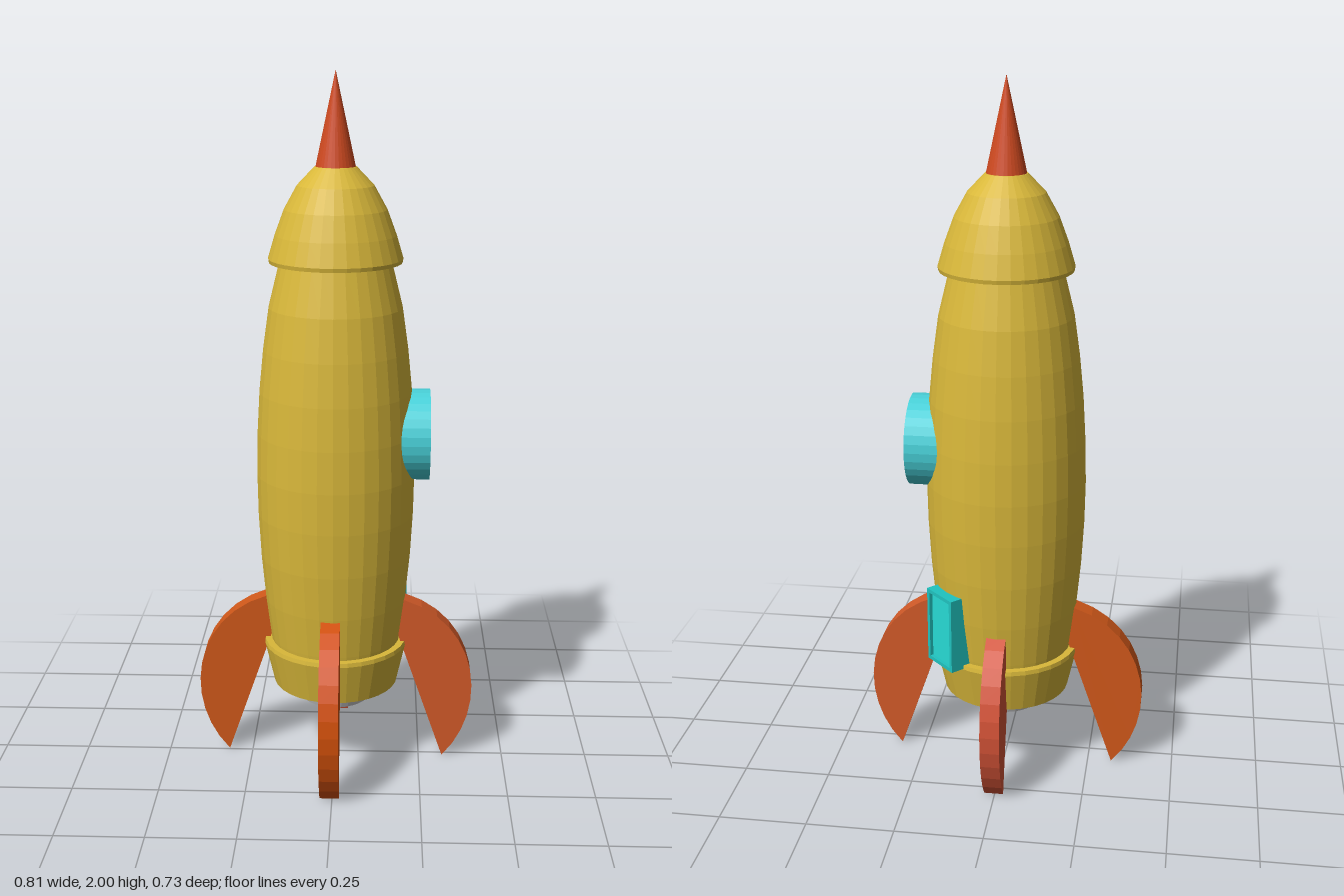
import * as THREE from 'three';

const AXIS_Z = -0.027; // the hull axis sits slightly behind centre

function paint(color) {
  return new THREE.MeshStandardMaterial({ color, flatShading: true, side: THREE.DoubleSide });
}

function part(name, geometry, color, parent) {
  const mesh = new THREE.Mesh(geometry, paint(color));
  mesh.name = name;
  parent.add(mesh);
  return mesh;
}

// Profile points are [radius, height]
function turned(points, segments = 32) {
  return new THREE.LatheGeometry(points.map(([r, y]) => new THREE.Vector2(r, y)), segments);
}

function finGeometry() {
  const s = new THREE.Shape();
  s.moveTo(0.32, 0);
  s.bezierCurveTo(0.46, 0.15, 0.43, 0.43, 0.2, 0.5);
  s.lineTo(0.145, 0.505);
  s.closePath();
  const g = new THREE.ExtrudeGeometry(s, { depth: 0.055, bevelEnabled: false, curveSegments: 12 });
  return g.translate(0, 0, -0.0275);
}

function rectangle(Type, w, h) {
  const r = new Type();
  r.moveTo(-w / 2, -h / 2);
  r.lineTo(w / 2, -h / 2);
  r.lineTo(w / 2, h / 2);
  r.lineTo(-w / 2, h / 2);
  r.closePath();
  return r;
}

export function createModel() {
  const rocket = new THREE.Group();
  rocket.name = 'rocket';
  const gold = 0xd9b83a;

  // Hull, tail collar, nose and nozzle share one axis
  const core = new THREE.Group();
  core.name = 'core';
  core.position.z = AXIS_Z;
  rocket.add(core);

  part('hull', turned([
    [0, 0.3], [0.178, 0.3], [0.19, 0.38], [0.205, 0.5], [0.217, 0.63], [0.224, 0.76], [0.226, 0.88],
    [0.223, 1.0], [0.216, 1.12], [0.204, 1.24], [0.187, 1.36], [0.155, 1.49], [0, 1.5],
  ]), gold, core);

  part('tailCollar', turned([
    [0.16, 0.3], [0.16, 0.235], [0.182, 0.235], [0.21, 0.358], [0.208, 0.37], [0.18, 0.37],
  ]), gold, core);

  part('noseCap', turned([
    [0.14, 1.482], [0.185, 1.485], [0.187, 1.496], [0.168, 1.56], [0.142, 1.63],
    [0.106, 1.695], [0.058, 1.745], [0, 1.75],
  ]), gold, core);

  const spike = part('noseSpike', new THREE.ConeGeometry(0.056, 0.26, 32), 0xd04a20, core);
  spike.position.y = 1.87;

  part('nozzle', turned([
    [0, 0.25], [0.075, 0.25], [0.08, 0.18], [0.1, 0.18], [0.118, 0.225], [0.118, 0.3],
  ]), 0xcccccc, core);

  // Fins: heading, offset along the heading, sideways position, colour
  const fin = finGeometry();
  const fins = [
    ['leftFin', 0, 0, 0, -0.012, 0xd25a28],
    ['backFin', Math.PI / 2, 0.003, 0.04, 0, 0xd25236],
    ['rightFin', Math.PI, 0, 0, -0.033, 0xd0581a],
    ['frontFin', -Math.PI / 2, -0.008, -0.04, 0, 0xd2500a],
  ];
  for (const [name, heading, x, z, side, color] of fins) {
    const mesh = part(name, fin, color, rocket);
    mesh.rotation.y = heading;
    mesh.position.set(x, 0, z + side);
  }

  // Round porthole on the left flank
  const porthole = new THREE.Group();
  porthole.name = 'porthole';
  porthole.rotation.z = -Math.PI / 2;
  porthole.position.set(0, 0.99, -0.035);
  rocket.add(porthole);
  part('portholeRim', turned([
    [0.13, 0.14], [0.13, 0.268], [0.119, 0.268], [0.119, 0.258],
  ]), 0x48d0d8, porthole);
  part('portholeGlass', turned([[0.119, 0.258], [0, 0.258]]), 0x48c8d0, porthole);

  // Framed hatch facing back and left
  const hatch = new THREE.Group();
  hatch.name = 'hatch';
  hatch.rotation.y = Math.PI * 0.75;
  hatch.position.set(0, 0.47, AXIS_Z);
  rocket.add(hatch);
  const frame = rectangle(THREE.Shape, 0.118, 0.222);
  frame.holes.push(rectangle(THREE.Path, 0.096, 0.2));
  const frameGeometry = new THREE.ExtrudeGeometry(frame, { depth: 0.1, bevelEnabled: false });
  part('hatchFrame', frameGeometry.translate(0, 0, 0.14), 0x20c4c0, hatch);
  const panel = part('hatchPanel', new THREE.BoxGeometry(0.1, 0.204, 0.08), 0x28dcd6, hatch);
  panel.position.z = 0.19;

  return rocket;
}
